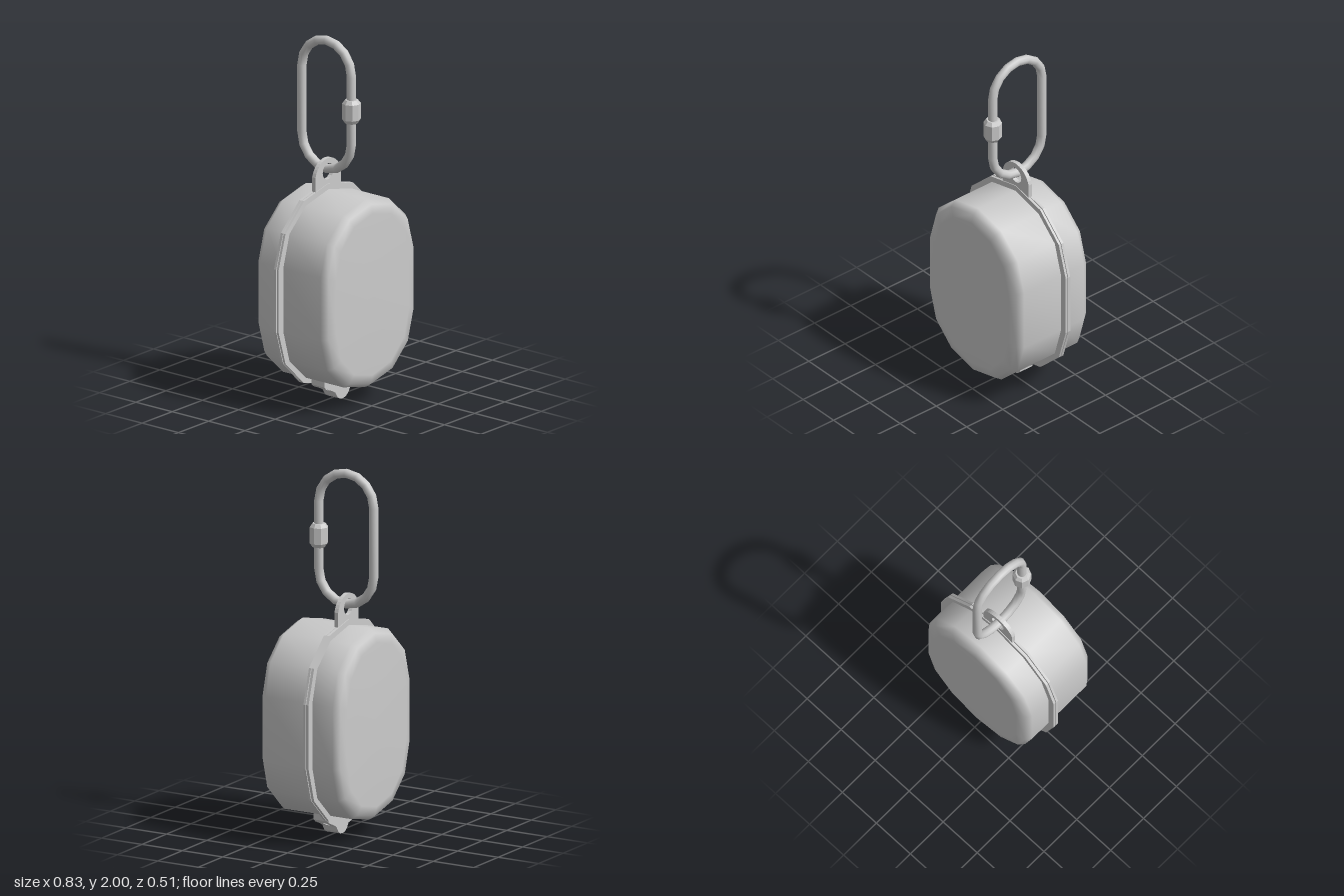
import * as THREE from 'three';

const SEAM = -0.06;
const material = new THREE.MeshStandardMaterial({ color: 0xcccccc, side: THREE.DoubleSide });
const flatMaterial = new THREE.MeshStandardMaterial({ color: 0xcccccc, flatShading: true });

function add(parent, name, geometry, mat = flatMaterial) {
  const mesh = new THREE.Mesh(geometry, mat);
  mesh.name = name;
  parent.add(mesh);
  return mesh;
}

// Slab of a flat shape between two depths
function slab(shape, z0, z1) {
  const g = new THREE.ExtrudeGeometry(shape, { depth: z1 - z0, bevelEnabled: false, curveSegments: 8 });
  return g.translate(0, 0, z0);
}

// Closed counterclockwise outline from its right half, listed bottom to top
function mirrored(half) {
  const left = half.filter(([x]) => x > 0).reverse().map(([x, y]) => [-x, y]);
  return [...half, ...left].map(([x, y]) => new THREE.Vector2(x, y));
}

const bodyOutline = mirrored([[0, 0.10], [0.19, 0.145], [0.325, 0.27], [0.377, 0.45],
  [0.377, 0.80], [0.325, 0.98], [0.19, 1.103], [0, 1.148]]);
const rimOutline = mirrored([[0, 0.07], [0.205, 0.118], [0.358, 0.262], [0.415, 0.45],
  [0.415, 0.80], [0.358, 0.988], [0.205, 1.132], [0, 1.18]]);

// Smooth shell: body outline swept through [depth, inset] rings, front to back
function shell(rings) {
  const pos = [], index = [], n = bodyOutline.length, cy = 0.624;
  for (const [z, inset] of rings) {
    const sx = Math.max(0, 1 - inset / 0.377), sy = Math.max(0, 1 - inset / 0.524);
    for (const p of bodyOutline) pos.push(p.x * sx, cy + (p.y - cy) * sy, z);
  }
  for (let i = 0; i < rings.length - 1; i++) {
    for (let j = 0; j < n; j++) {
      const a = i * n + j, b = i * n + (j + 1) % n, c = a + n, d = b + n;
      index.push(a, c, b, b, c, d);
    }
  }
  const g = new THREE.BufferGeometry();
  g.setAttribute('position', new THREE.Float32BufferAttribute(pos, 3));
  g.setIndex(index);
  g.computeVertexNormals();
  return g;
}

// Part of the latch outline between two heights
const latchProfile = [[0, 0.002], [0.025, 0.007], [0.045, 0.022], [0.062, 0.05], [0.08, 0.06],
  [0.10, 0.07], [0.135, 0.085], [0.152, 0.10], [0.152, 0.137]];
function latchShape(y0, y1) {
  const widthAt = (y) => {
    for (let i = 1; i < latchProfile.length; i++) {
      const [xa, ya] = latchProfile[i - 1], [xb, yb] = latchProfile[i];
      if (y <= yb) return xa + (xb - xa) * Math.max(0, (y - ya) / (yb - ya));
    }
    return 0.152;
  };
  const inner = latchProfile.filter(([, y]) => y > y0 && y < y1);
  return new THREE.Shape(mirrored([[widthAt(y0), y0], ...inner, [widthAt(y1), y1]]));
}

export function createModel() {
  const model = new THREE.Group();

  // Case halves
  add(model, 'frontShell', shell([[0.256, 1], [0.256, 0.075], [0.245, 0.024], [0.21, 0], [SEAM, 0]]), material);
  add(model, 'backShell', shell([[SEAM, 0], [-0.203, 0], [-0.237, 0.024], [-0.249, 0.075], [-0.249, 1]]), material);

  // Two rim plates with a thin seam between them
  const rim = new THREE.Shape(rimOutline);
  add(model, 'frontRim', slab(rim, -0.059, -0.046));
  add(model, 'backRim', slab(rim, -0.078, -0.063));

  // Hanging lug with a round eye
  const lug = new THREE.Shape();
  lug.moveTo(-0.105, 1.12);
  lug.lineTo(0.105, 1.12);
  lug.lineTo(0.105, 1.235);
  lug.bezierCurveTo(0.09, 1.295, 0.04, 1.32, 0, 1.32);
  lug.bezierCurveTo(-0.04, 1.32, -0.09, 1.295, -0.105, 1.235);
  lug.closePath();
  lug.holes.push(new THREE.Path().absarc(0, 1.247, 0.045, 0, Math.PI * 2, true));
  add(model, 'hangingLug', slab(lug, -0.073, -0.05));

  // Latch at the bottom, with a small tunnel running sideways
  const latch = new THREE.Group();
  latch.name = 'latch';
  model.add(latch);
  const pieces = [[0.002, 0.137, 0.02, 0.05], [0.002, 0.137, -0.037, -0.001],
    [0.002, 0.056, -0.001, 0.02], [0.077, 0.137, -0.001, 0.02]];
  for (const [y0, y1, z0, z1] of pieces) add(latch, 'latchPiece', slab(latchShape(y0, y1), z0, z1));

  // Carabiner: a stadium loop of round bar in the side plane
  const carabiner = new THREE.Group();
  carabiner.name = 'carabiner';
  model.add(carabiner);
  const R = 0.17, bar = 0.025, steps = 8, path = new THREE.CurvePath(), pts = [];
  for (const [cy, start] of [[1.805, 0], [1.43, Math.PI]]) {
    for (let i = 0; i <= steps; i++) {
      const a = start + (Math.PI * i) / steps;
      pts.push(new THREE.Vector3(0, cy + R * Math.sin(a), SEAM + R * Math.cos(a)));
    }
  }
  pts.forEach((p, i) => path.add(new THREE.LineCurve3(p, pts[(i + 1) % pts.length])));

  // Mitred bar: one circular section per path point
  const sides = 10, pos = [], index = [];
  pts.forEach((p, i) => {
    const cy = i <= steps ? 1.805 : 1.43;
    const out = new THREE.Vector3(0, p.y - cy, p.z - SEAM).normalize();
    for (let k = 0; k < sides; k++) {
      const a = (k / sides) * Math.PI * 2, r = Math.cos(a) * bar;
      pos.push(Math.sin(a) * bar, p.y + out.y * r, p.z + out.z * r);
      const i2 = (i + 1) % pts.length, k2 = (k + 1) % sides;
      const A = i * sides + k, B = i * sides + k2, C = i2 * sides + k, D = i2 * sides + k2;
      index.push(A, B, C, B, D, C);
    }
  });
  const loop = new THREE.BufferGeometry();
  loop.setAttribute('position', new THREE.Float32BufferAttribute(pos, 3));
  loop.setIndex(index);
  loop.computeVertexNormals();
  add(carabiner, 'loop', loop, material);

  // Chamfered locking sleeve on the front bar
  const sleeve = [[0.02, 1.55], [0.035, 1.55], [0.05, 1.572], [0.05, 1.66], [0.035, 1.68], [0.02, 1.68]];
  add(carabiner, 'lockingSleeve', new THREE.LatheGeometry(sleeve.map(([r, y]) => new THREE.Vector2(r, y)), 8))
    .position.z = SEAM + R;

  return model;
}
